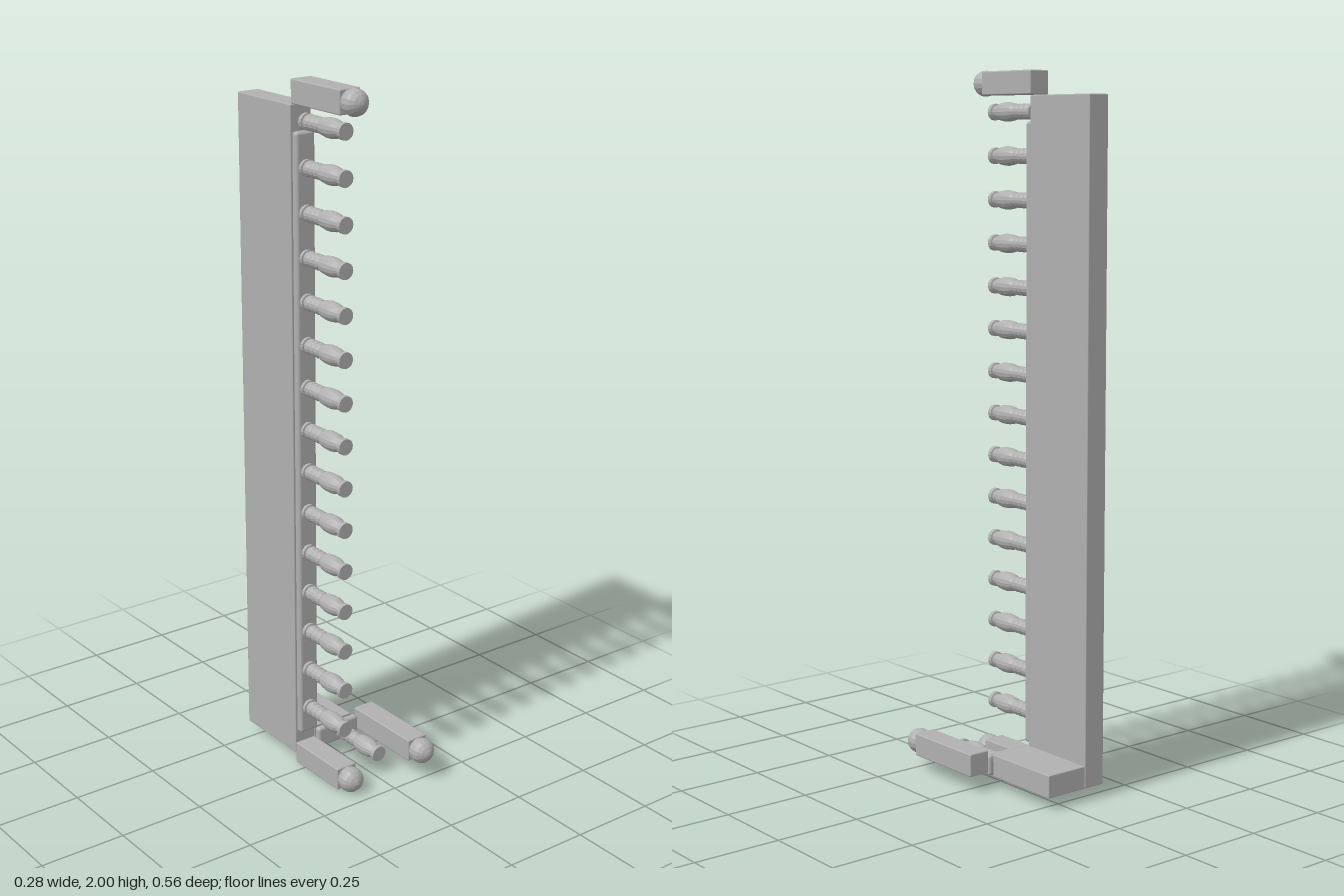
import * as THREE from 'three';
import { RoundedBoxGeometry } from 'three/addons/geometries/RoundedBoxGeometry.js';

const grey = new THREE.MeshStandardMaterial({ color: 0xb0b0b0 });
grey.name = 'grey';

// Box given by its minimum and maximum corners, with softened edges
function block(name, min, max, radius) {
  const s = max.map((v, i) => v - min[i]);
  const geo = radius
    ? new RoundedBoxGeometry(s[0], s[1], s[2], 2, radius)
    : new THREE.BoxGeometry(s[0], s[1], s[2]);
  const mesh = new THREE.Mesh(geo, grey);
  mesh.name = name;
  mesh.position.set(...max.map((v, i) => (v + min[i]) / 2));
  return mesh;
}

// Faceted turned part lying along +z; profile pairs are [radius, z]
function turned(profile, sides) {
  const pts = profile.map(([r, z]) => new THREE.Vector2(r, z));
  const geo = new THREE.LatheGeometry(pts, sides).rotateX(Math.PI / 2).toNonIndexed();
  geo.computeVertexNormals();
  return geo;
}

export function createModel() {
  const model = new THREE.Group();
  model.name = 'keyboardRack';

  // L-shaped body: tall panel and short foot slab
  model.add(block('tallPanel', [-0.14, 0.035, -0.28], [-0.073, 1.93, -0.038], 0.003));
  model.add(block('footSlab', [-0.073, 0.035, -0.28], [0.059, 0.1, -0.038], 0.003));

  // Rounded backing plates behind the spindles
  model.add(block('tallPlate', [-0.138, 0.105, -0.038], [-0.076, 1.86, -0.014], 0.009));
  model.add(block('footPlate', [-0.073, 0.037, -0.037], [0.071, 0.098, -0.015], 0.009));

  // Spindles
  const spindleGeo = turned([
    [0, -0.016], [0.023, -0.016], [0.023, -0.005], [0.018, -0.004],
    [0.022, 0.004], [0.022, 0.014], [0.018, 0.02],
    [0.022, 0.026], [0.022, 0.034], [0.018, 0.04],
    [0.022, 0.046], [0.021, 0.054], [0.018, 0.059],
    [0.024, 0.07], [0.027, 0.09], [0.027, 0.108], [0.025, 0.122],
    [0.019, 0.14], [0.018, 0.147], [0.023, 0.149], [0.023, 0.161], [0, 0.161],
  ], 16);
  const spindle = (x, y) => {
    const mesh = new THREE.Mesh(spindleGeo, grey);
    mesh.name = 'spindle';
    mesh.position.set(x, y, 0);
    model.add(mesh);
  };
  for (let i = 0; i < 15; i++) spindle(-0.108, 0.185 + i * 0.1215);
  spindle(0.013, 0.066);

  // End posts with pointed ball finials
  const finialGeo = turned([
    [0, -0.004], [0.029, -0.004], [0.033, 0.004], [0.036, 0.016], [0.036, 0.026],
    [0.032, 0.037], [0.023, 0.047], [0.011, 0.054], [0, 0.057],
  ], 16);
  const post = (name, x, y, end) => {
    const h = 0.033;
    const group = new THREE.Group();
    group.name = name;
    group.add(block('postBar', [x - h, y - h, -0.037], [x + h, y + h, end], 0.004));
    const finial = new THREE.Mesh(finialGeo, grey);
    finial.name = 'finial';
    finial.position.set(x, y, end);
    group.add(finial);
    model.add(group);
  };
  post('topPost', -0.107, 1.965, 0.175);
  post('cornerPost', -0.107, 0.036, 0.164);
  post('footPost', 0.106, 0.082, 0.22);

  return model;
}
